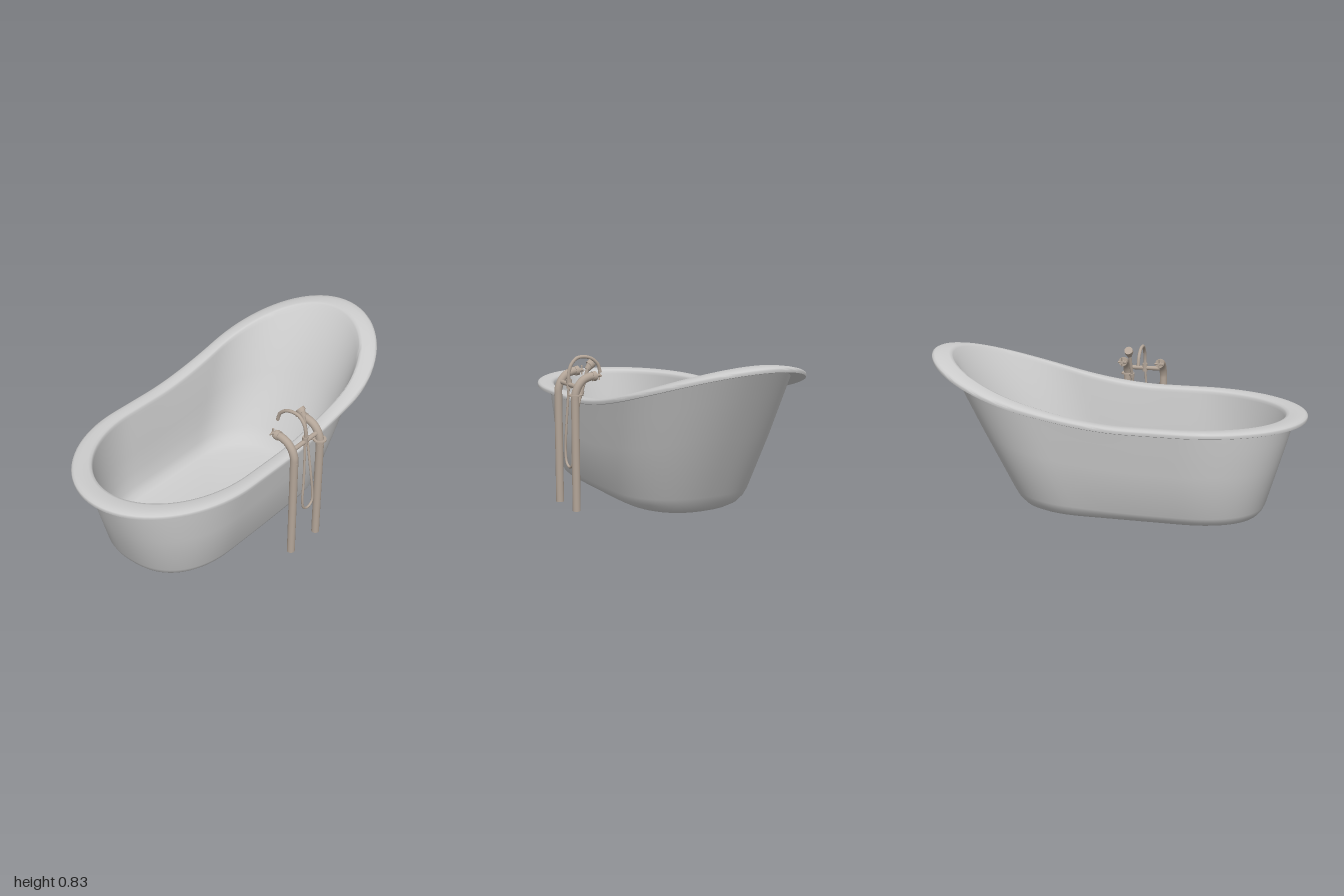
import * as THREE from 'three';
import { toCreasedNormals } from 'three/addons/utils/BufferGeometryUtils.js';

const enamel = new THREE.MeshStandardMaterial({ color: 0xcccccc });
const metal = new THREE.MeshStandardMaterial({ color: 0xb3a598, side: THREE.DoubleSide });
const TUB_Z = -0.0425;
const FLAT = 0.4; // share of the outline that is straight along each side

const V = (x, y, z) => new THREE.Vector3(x, y, z);

function add(parent, name, geometry, material) {
  const mesh = new THREE.Mesh(geometry, material);
  mesh.name = name;
  parent.add(mesh);
  return mesh;
}

// Rim height along the tub, u = -1 (foot) to 1 (raised head)
const rimHeight = u => 0.565 + 0.265 * Math.pow(Math.max(0, (u + 0.15) / 1.15), 1.7);

// Round-ended plan outline in the unit square; n sets the squareness of the ends
function outline(n) {
  const pts = [];
  const power = v => Math.sign(v) * Math.pow(Math.abs(v), 2 / n);
  for (const side of [1, -1]) {
    for (let i = 0; i <= 40; i++) {
      const a = -Math.PI / 2 + Math.PI * i / 40;
      pts.push([side * (FLAT + (1 - FLAT) * power(Math.cos(a))), side * power(Math.sin(a))]);
    }
    for (let i = 1; i < 14; i++) pts.push([side * FLAT * (1 - 2 * i / 14), side]);
  }
  return pts;
}

// Rings: [left x, right x, half width, share of rim height, height offset]
// Basin, from the middle of the floor up
const basin = [
  [-0.17, -0.17, 0, 0, 0.058],
  [-0.68, 0.34, 0.275, 0, 0.06],
  [-0.72, 0.39, 0.31, 0.02, 0.062],
  [-0.752, 0.435, 0.335, 0.055, 0.066],
  [-0.772, 0.47, 0.35, 0.12, 0.062],
  [-0.80, 0.567, 0.367, 0.32, 0.03],
  [-0.83, 0.672, 0.383, 0.55, 0.01],
  [-0.882, 0.862, 0.403, 0.955, 0],
];

// Rolled rim, from the basin edge to the underside: [inset, height offset]
const rim = [
  [0.113, -0.012], [0.107, -0.003], [0.092, 0.001], [0.045, 0.003], [0.015, 0.001],
  [0.003, -0.004], [0, -0.011], [0.002, -0.023], [0.01, -0.026],
].map(([inset, dy]) => [inset - 1, 1 - inset, 0.4825 - 0.68 * inset, 1, dy]);

// Outer shell, down to the underside
const shell = [
  [-0.93, 0.922, 0.417, 1, -0.025],
  [-0.91, 0.845, 0.405, 0.8, 0],
  [-0.87, 0.735, 0.387, 0.55, 0],
  [-0.805, 0.555, 0.35, 0.15, 0],
  [-0.793, 0.53, 0.336, 0.08, 0.014],
  [-0.776, 0.50, 0.315, 0.03, 0.022],
  [-0.745, 0.463, 0.287, 0, 0.027],
  [-0.69, 0.41, 0.24, 0, 0.021],
  [-0.16, -0.16, 0, 0, 0.015],
];

// Skin over all rings; the ends get squarer towards the floor
function tubGeometry() {
  const rings = [...basin, ...rim, ...shell];
  const base = outline(2);
  const count = base.length;
  const position = [], index = [];
  rings.forEach(([left, right, half, share, offset], j) => {
    outline(2.4 - 0.4 * share).forEach(([u, v], i) => {
      position.push((left + right) / 2 + u * (right - left) / 2,
        share * rimHeight(base[i][0]) + offset, TUB_Z + v * half);
      if (j === rings.length - 1) return;
      const a = j * count + i, b = j * count + (i + 1) % count;
      index.push(a, b, a + count, b, b + count, a + count);
    });
  });
  const geometry = new THREE.BufferGeometry();
  geometry.setAttribute('position', new THREE.Float32BufferAttribute(position, 3));
  geometry.setIndex(index);
  return toCreasedNormals(geometry, 0.9);
}

// Closed cylinder between two points
function rod(parent, name, from, to, r1, r2 = r1) {
  const mesh = add(parent, name, new THREE.CylinderGeometry(r2, r1, from.distanceTo(to), 20), metal);
  mesh.position.copy(from).lerp(to, 0.5);
  mesh.quaternion.setFromUnitVectors(V(0, 1, 0), to.clone().sub(from).normalize());
}

// Round pipe along a smooth curve
function pipe(parent, name, points, radius, segments) {
  const curve = new THREE.CatmullRomCurve3(points, false, 'centripetal');
  add(parent, name, new THREE.TubeGeometry(curve, segments, radius, 14), metal);
}

export function createModel() {
  const model = new THREE.Group();
  model.name = 'bathtub';
  add(model, 'tub', tubGeometry(), enamel);

  const tap = new THREE.Group();
  tap.name = 'standingTap';
  model.add(tap);

  // Two supply pipes, each bending over the rim to a cross handle
  for (const x of [-0.145, 0.065]) {
    const supply = new THREE.Group();
    supply.name = 'supplyPipe';
    supply.position.x = x;
    tap.add(supply);
    rod(supply, 'leg', V(0, 0, 0.492), V(0, 0.58, 0.492), 0.021);
    pipe(supply, 'bend', [V(0, 0.575, 0.492), V(0, 0.61, 0.49), V(0, 0.65, 0.474),
      V(0, 0.68, 0.446), V(0, 0.693, 0.415), V(0, 0.697, 0.39)], 0.021, 28);
    rod(supply, 'valveCollar', V(0, 0.695, 0.395), V(0, 0.697, 0.375), 0.025);
    rod(supply, 'valveStem', V(0, 0.697, 0.376), V(0, 0.698, 0.348), 0.011, 0.008);
    for (const [dx, dy] of [[0.024, 0], [0, 0.024]]) {
      rod(supply, 'crossHandle', V(-dx, 0.698 - dy, 0.355), V(dx, 0.698 + dy, 0.355), 0.005);
    }
  }

  // Bridge between the pipes
  rod(tap, 'crossbar', V(-0.145, 0.645, 0.476), V(0.065, 0.645, 0.476), 0.012);
  rod(tap, 'spoutCollar', V(-0.04, 0.625, 0.476), V(-0.04, 0.672, 0.476), 0.015);

  // Arched spout
  pipe(tap, 'spout', [V(-0.04, 0.65, 0.478), V(-0.04, 0.70, 0.478), V(-0.04, 0.745, 0.464),
    V(-0.04, 0.778, 0.432), V(-0.04, 0.783, 0.392), V(-0.04, 0.772, 0.35),
    V(-0.04, 0.74, 0.313), V(-0.04, 0.695, 0.298)], 0.009, 60);

  // Holder for the hand shower
  rod(tap, 'holderDisc', V(0.065, 0.602, 0.49), V(0.065, 0.61, 0.49), 0.035);
  rod(tap, 'holderArm', V(0.065, 0.606, 0.49), V(0.026, 0.606, 0.442), 0.005);
  rod(tap, 'holderRing', V(0.026, 0.596, 0.442), V(0.027, 0.618, 0.437), 0.014);

  // Hand shower and its hanging hose
  rod(tap, 'showerHandle', V(0.025, 0.58, 0.446), V(0.034, 0.74, 0.402), 0.008, 0.01);
  rod(tap, 'showerNeck', V(0.034, 0.728, 0.408), V(0.034, 0.752, 0.388), 0.015, 0.02);
  rod(tap, 'showerHead', V(0.034, 0.748, 0.395), V(0.034, 0.762, 0.378), 0.024);
  pipe(tap, 'hose', [V(-0.042, 0.63, 0.478), V(-0.056, 0.4, 0.49), V(-0.063, 0.29, 0.492),
    V(-0.05, 0.232, 0.492), V(-0.015, 0.214, 0.492), V(0.018, 0.232, 0.492),
    V(0.024, 0.29, 0.49), V(0.018, 0.4, 0.48), V(0.025, 0.59, 0.444)], 0.0065, 90);

  return model;
}
